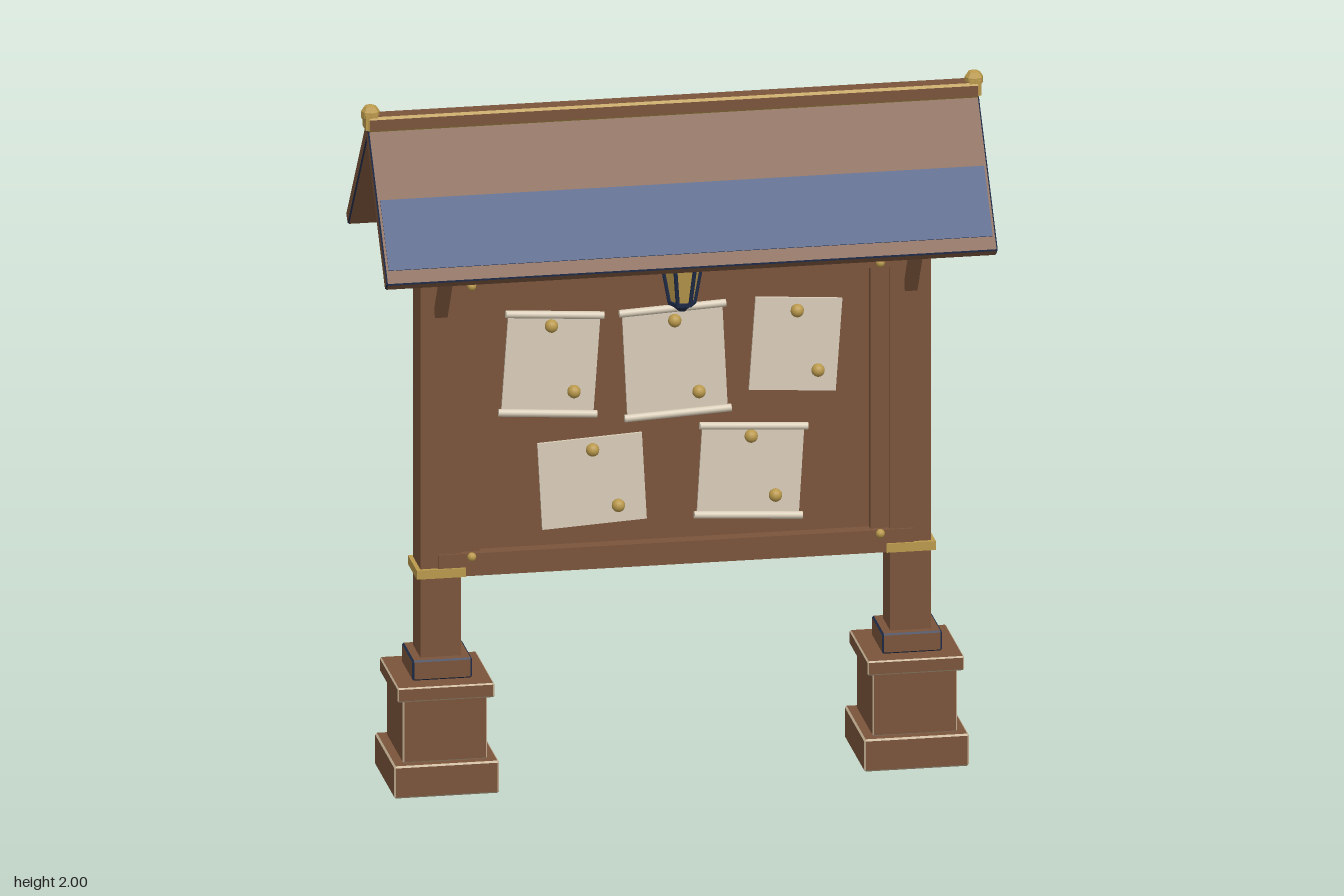
import * as THREE from 'three';
import { ConvexGeometry } from 'three/addons/geometries/ConvexGeometry.js';

const mat = (name, color) => {
  const m = new THREE.MeshStandardMaterial({ color });
  m.name = name;
  return m;
};

export function createModel() {
  const wood = mat('wood brown', 0x7a543b);
  const blue = mat('roof blue', 0x314a78);
  const navy = mat('dark navy', 0x1f2d4a);
  const gold = mat('gold', 0xba994c);
  const cream = mat('paper cream', 0xd9cdb8);
  const trim = mat('pale trim', 0xc4b193);

  const root = new THREE.Group();
  root.name = 'noticeBoard';

  const add = (parent, name, geo, material, x = 0, y = 0, z = 0) => {
    const m = new THREE.Mesh(geo, material);
    m.name = name;
    m.position.set(x, y, z);
    parent.add(m);
    return m;
  };
  const box = (parent, name, w, h, d, material, x, y, z) =>
    add(parent, name, new THREE.BoxGeometry(w, h, d), material, x, y, z);

  // Box with chamfered edges in a second colour
  const edgedBox = (parent, name, w, h, d, bevel, edge, x, y, z) => {
    const pts = [];
    for (const sx of [-1, 1]) for (const sy of [-1, 1]) for (const sz of [-1, 1]) {
      for (let k = 0; k < 3; k++) {
        pts.push(new THREE.Vector3(
          sx * (w / 2 - (k === 0 ? 0 : bevel)),
          sy * (h / 2 - (k === 1 ? 0 : bevel)),
          sz * (d / 2 - (k === 2 ? 0 : bevel))));
      }
    }
    const geo = new ConvexGeometry(pts);
    const n = geo.attributes.normal;
    for (let i = 0; i < n.count; i += 3) {
      const flat = Math.max(Math.abs(n.getX(i)), Math.abs(n.getY(i)), Math.abs(n.getZ(i))) > 0.99;
      geo.addGroup(i, 3, flat ? 0 : 1);
    }
    return add(parent, name, geo, [wood, edge], x, y, z);
  };

  // Posts with stepped footings, gold bands, diagonal braces and gables
  const gableShape = new THREE.Shape([
    new THREE.Vector2(-0.278, 1.573), new THREE.Vector2(0.278, 1.573), new THREE.Vector2(0, 1.905)]);
  for (const side of [-1, 1]) {
    const g = new THREE.Group();
    g.name = side > 0 ? 'leftPost' : 'rightPost';
    root.add(g);
    const px = side * 0.667;
    edgedBox(g, 'plinth', 0.298, 0.095, 0.31, 0.005, trim, px, 0.0475, 0);
    edgedBox(g, 'footing', 0.24, 0.19, 0.255, 0.004, trim, px, 0.189, 0);
    edgedBox(g, 'footingCap', 0.275, 0.042, 0.287, 0.004, trim, px, 0.3, 0);
    edgedBox(g, 'collar', 0.17, 0.06, 0.17, 0.005, navy, px, 0.35, 0);
    box(g, 'post', 0.116, 1.24, 0.116, wood, px, 0.97, 0);
    for (const y of [0.627, 1.512]) box(g, 'postBand', 0.14, 0.026, 0.14, gold, px, y, 0);
    box(g, 'tieBeam', 0.12, 0.048, 0.345, wood, side * 0.7, 1.58, 0);

    for (const dir of [-1, 1]) {
      const brace = box(g, 'brace', 0.035, 0.235, 0.026, wood, px, 1.487, dir * 0.122);
      brace.rotation.x = dir * 0.58;
    }

    const gable = new THREE.ExtrudeGeometry(gableShape, { depth: 0.03, bevelEnabled: false });
    gable.translate(0, 0, -0.015);
    gable.rotateY(Math.PI / 2);
    add(g, 'gable', gable, wood, side * 0.725, 0, 0);
  }

  // Board: panel, stiles, rails and corner studs
  const board = new THREE.Group();
  board.name = 'board';
  root.add(board);
  box(board, 'panel', 1.2, 0.86, 0.05, wood, 0, 1.07, 0);
  for (const s of [-1, 1]) box(board, 'stile', 0.056, 0.88, 0.09, wood, s * 0.583, 1.07, 0);
  box(board, 'bottomRail', 1.35, 0.066, 0.128, wood, 0, 0.647, 0);
  box(board, 'topRail', 1.35, 0.07, 0.128, wood, 0, 1.489, 0);
  box(board, 'topBeam', 1.45, 0.045, 0.1, wood, 0, 1.578, 0);
  const stud = new THREE.SphereGeometry(0.013, 10, 8);
  for (const x of [-0.58, 0.58]) for (const y of [0.67, 1.468]) for (const z of [-0.064, 0.064])
    add(board, 'cornerStud', stud, gold, x, y, z);

  // Pinned notices: x, y, width, height, tilt, has rolled ends, two pin positions
  const notices = [
    [-0.35, 1.217, 0.262, 0.29, -0.07, true, [-0.35, 1.33], [-0.286, 1.133]],
    [0.002, 1.206, 0.285, 0.31, 0.05, true, [0, 1.325], [0.069, 1.112]],
    [0.345, 1.233, 0.247, 0.272, -0.07, false, [0.348, 1.334], [0.407, 1.155]],
    [-0.233, 0.863, 0.297, 0.255, 0.055, false, [-0.233, 0.958], [-0.16, 0.79]],
    [0.217, 0.87, 0.29, 0.262, -0.06, true, [0.217, 0.972], [0.286, 0.794]],
  ];
  const pinGeo = new THREE.SphereGeometry(0.019, 14, 10);
  for (const [x, y, w, h, tilt, rolled, ...pins] of notices) {
    const g = new THREE.Group();
    g.name = 'notice';
    g.position.set(x, y, 0.031);
    g.rotation.z = tilt;
    root.add(g);
    box(g, 'sheet', w, h, 0.008, cream, 0, 0, 0);
    if (rolled) for (const s of [-1, 1]) {
      const roll = add(g, 'rolledEnd', new THREE.CylinderGeometry(0.011, 0.011, w + 0.018, 10), cream,
        0, s * h / 2, 0.009);
      roll.rotation.z = Math.PI / 2;
    }
    for (const [a, b] of pins) add(root, 'pin', pinGeo, gold, a, b, 0.043);
  }

  // Roof: two mirrored slopes, each with a blue band
  const apex = 1.955, pitch = 0.872, length = 0.5, thick = 0.037;
  for (const turn of [0, Math.PI]) {
    const half = new THREE.Group();
    half.name = turn ? 'backRoof' : 'frontRoof';
    half.rotation.y = turn;
    root.add(half);
    const slope = new THREE.Group();
    slope.name = 'slope';
    slope.position.y = apex;
    slope.rotation.x = pitch;
    half.add(slope);
    edgedBox(slope, 'roofSlab', 1.736, thick, length, 0.004, navy, 0, -thick / 2, length / 2);
    box(slope, 'roofBand', 1.715, 0.006, 0.212, blue, 0, 0, 0.351);
  }

  // Ridge cap and finials
  edgedBox(root, 'ridgeCap', 1.74, 0.045, 0.06, 0.007, gold, 0, 1.946, 0);
  for (const s of [-1, 1]) {
    box(root, 'finialBase', 0.034, 0.045, 0.052, gold, s * 0.857, 1.953, 0);
    const finial = add(root, 'finial', new THREE.SphereGeometry(0.028, 8, 5), gold, s * 0.857, 1.972, 0);
    finial.geometry = finial.geometry.toNonIndexed();
    finial.geometry.computeVertexNormals();
  }

  // Hanging lantern: tapered hexagonal glass in a dark frame
  const lantern = new THREE.Group();
  lantern.name = 'lantern';
  lantern.position.z = 0.16;
  lantern.rotation.y = Math.PI / 6;
  root.add(lantern);
  const hex = (name, top, bottom, y0, y1, material) => {
    const geo = new THREE.CylinderGeometry(top, bottom, y1 - y0, 6).toNonIndexed();
    geo.computeVertexNormals();
    add(lantern, name, geo, material, 0, (y0 + y1) / 2, 0);
  };
  hex('lanternTip', 0.036, 0.01, 1.393, 1.415, navy);
  hex('lanternFoot', 0.042, 0.04, 1.413, 1.424, navy);
  hex('lanternGlass', 0.053, 0.034, 1.424, 1.528, gold);
  hex('lanternRim', 0.062, 0.066, 1.526, 1.54, navy);
  hex('lanternCap', 0.02, 0.06, 1.54, 1.57, navy);
  hex('lanternRod', 0.007, 0.007, 1.565, 1.72, navy);
  for (let i = 0; i < 6; i++) {
    const a = i * Math.PI / 3;
    const path = new THREE.LineCurve3(
      new THREE.Vector3(Math.sin(a) * 0.036, 1.42, Math.cos(a) * 0.036),
      new THREE.Vector3(Math.sin(a) * 0.056, 1.53, Math.cos(a) * 0.056));
    add(lantern, 'lanternBar', new THREE.TubeGeometry(path, 1, 0.006, 5), navy);
  }

  return root;
}
